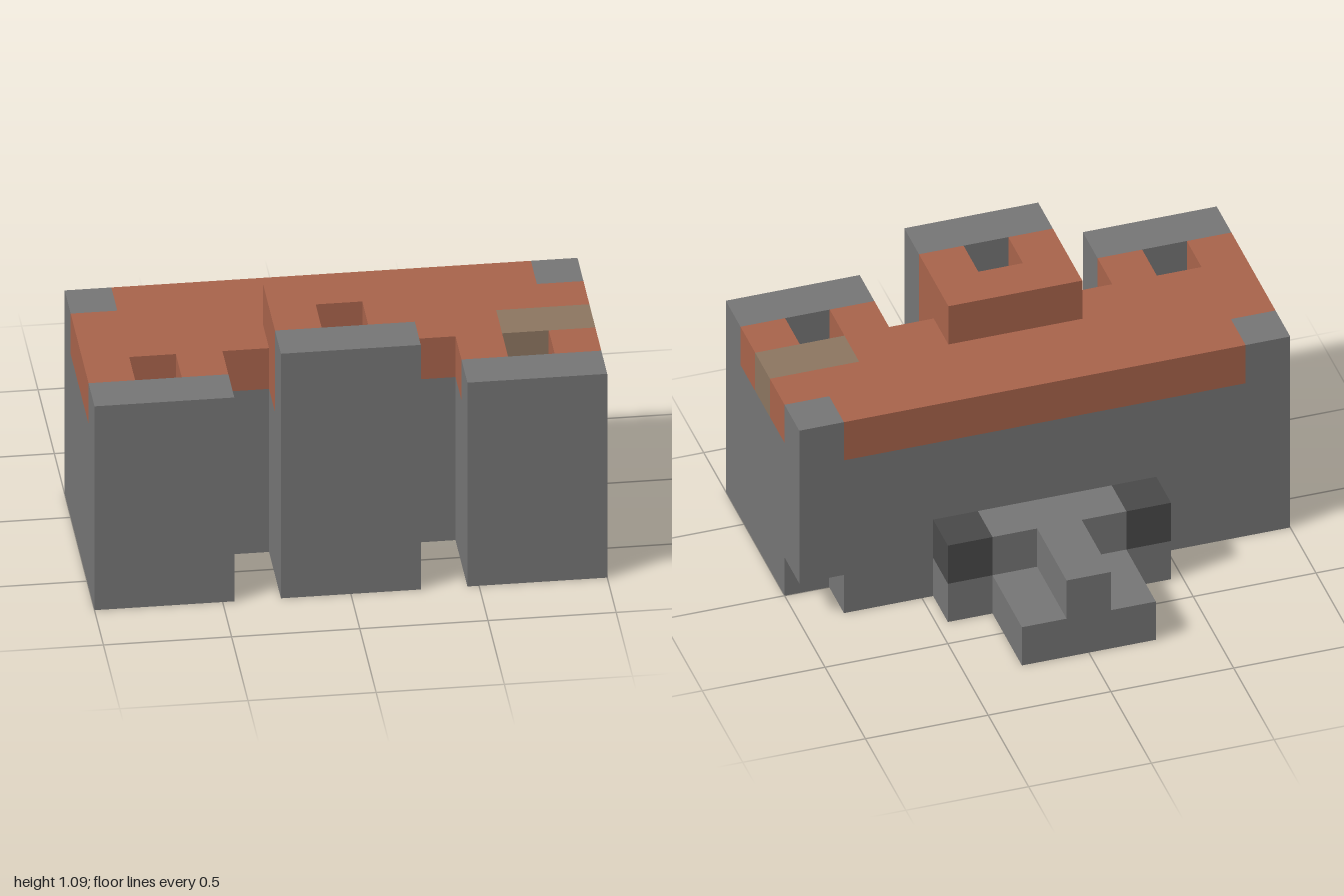
import * as THREE from 'three';

const U = 2 / 11; // one grid cell

const mat = (name, color) => Object.assign(new THREE.MeshStandardMaterial({ color }), { name });

export function createModel() {
  const stone = mat('grey stone', 0x757575);
  const darkStone = mat('dark stone', 0x494949);
  const brick = mat('red brown brick', 0xa8634b);
  const mixed = mat('weathered brick', 0x8c7560);
  const channelBrown = mat('channel brown', 0x84634e);
  const ember = mat('orange ember', 0xba5a20);

  const model = new THREE.Group();
  model.name = 'blockForge';
  const group = (name) => {
    const g = new THREE.Group();
    g.name = name;
    model.add(g);
    return g;
  };

  // Box between grid lines: x from -5.5 to 5.5, y from 0 to 6, z from 0 (back) to 8 (front)
  const block = (parent, name, material, [x0, x1], [y0, y1], [z0, z1]) => {
    const geo = new THREE.BoxGeometry((x1 - x0) * U, (y1 - y0) * U, (z1 - z0) * U);
    const mesh = new THREE.Mesh(geo, material);
    mesh.name = name;
    mesh.position.set((x0 + x1) / 2 * U, (y0 + y1) / 2 * U, ((z0 + z1) / 2 - 4) * U);
    parent.add(mesh);
  };

  // Base layer, with one back corner left out and room for the channel
  const base = group('base');
  const baseRows = {
    3: [[-5.5, -0.5], [0.5, 4.5]],
    4: [[-5.5, -4.5], [4.5, 5.5]],
    5: [[-5.5, -4.5], [-3.5, -0.5], [0.5, 3.5], [4.5, 5.5]],
  };
  for (const [row, spans] of Object.entries(baseRows)) {
    for (const span of spans) block(base, 'baseStone', stone, span, [0, 1], [+row, +row + 1]);
  }

  // Channel joining the three shafts, visible from underneath
  const channel = group('channel');
  block(channel, 'channelInlet', channelBrown, [-0.5, 0.5], [0, 1], [3, 4]);
  block(channel, 'channelMain', channelBrown, [-4.5, 4.5], [0, 1], [4, 5]);

  // Main body and its brick top layer
  const body = group('body');
  block(body, 'bodyCore', stone, [-5.5, 5.5], [1, 4], [3, 6]);
  block(body, 'brickBack', brick, [-4.5, 4.5], [4, 5], [3, 4]);
  block(body, 'brickMiddle', brick, [-5.5, 5.5], [4, 5], [4, 5]);
  block(body, 'brickFront', brick, [-5.5, 3.5], [4, 5], [5, 6]);
  block(body, 'weatheredPatch', mixed, [3.5, 5.5], [4, 5], [5, 6]);
  for (const x of [-5.5, 4.5]) block(body, 'cornerStone', stone, [x, x + 1], [4, 5], [3, 4]);

  // Three front towers, each with an open shaft down to an ember
  for (const c of [-4, 0, 4]) {
    const tower = group('tower');
    const h = c === 0 ? 6 : 5;
    block(tower, 'towerFront', stone, [c - 1.5, c + 1.5], [0, h], [7, 8]);
    for (const x of [c - 1.5, c + 0.5]) {
      block(tower, 'towerCheek', stone, [x, x + 1], [0, 4], [6, 7]);
      block(tower, 'towerBrick', brick, [x, x + 1], [4, h], [6, 7]);
    }
    block(tower, 'shaftEmber', ember, [c - 0.5, c + 0.5], [0, 1], [6, 7]);
    block(tower, 'channelBranch', channelBrown, [c - 0.5, c + 0.5], [0, 1], [5, 6]);
    if (c === 0) block(tower, 'towerBackBrick', brick, [-1.5, 1.5], [5, 6], [5, 6]);
  }

  // Stepped spout at the back
  const spout = group('spout');
  block(spout, 'spoutFoot', stone, [-2.5, 2.5], [0, 1], [2, 3]);
  block(spout, 'spoutShoulder', stone, [-1.5, 1.5], [1, 2], [2, 3]);
  block(spout, 'spoutTray', stone, [-1.5, 1.5], [0, 1], [0, 2]);
  block(spout, 'spoutRidge', stone, [-0.5, 0.5], [1, 2], [0, 2]);
  for (const x of [-2.5, 1.5]) block(spout, 'spoutCap', darkStone, [x, x + 1], [1, 2], [2, 3]);

  return model;
}
